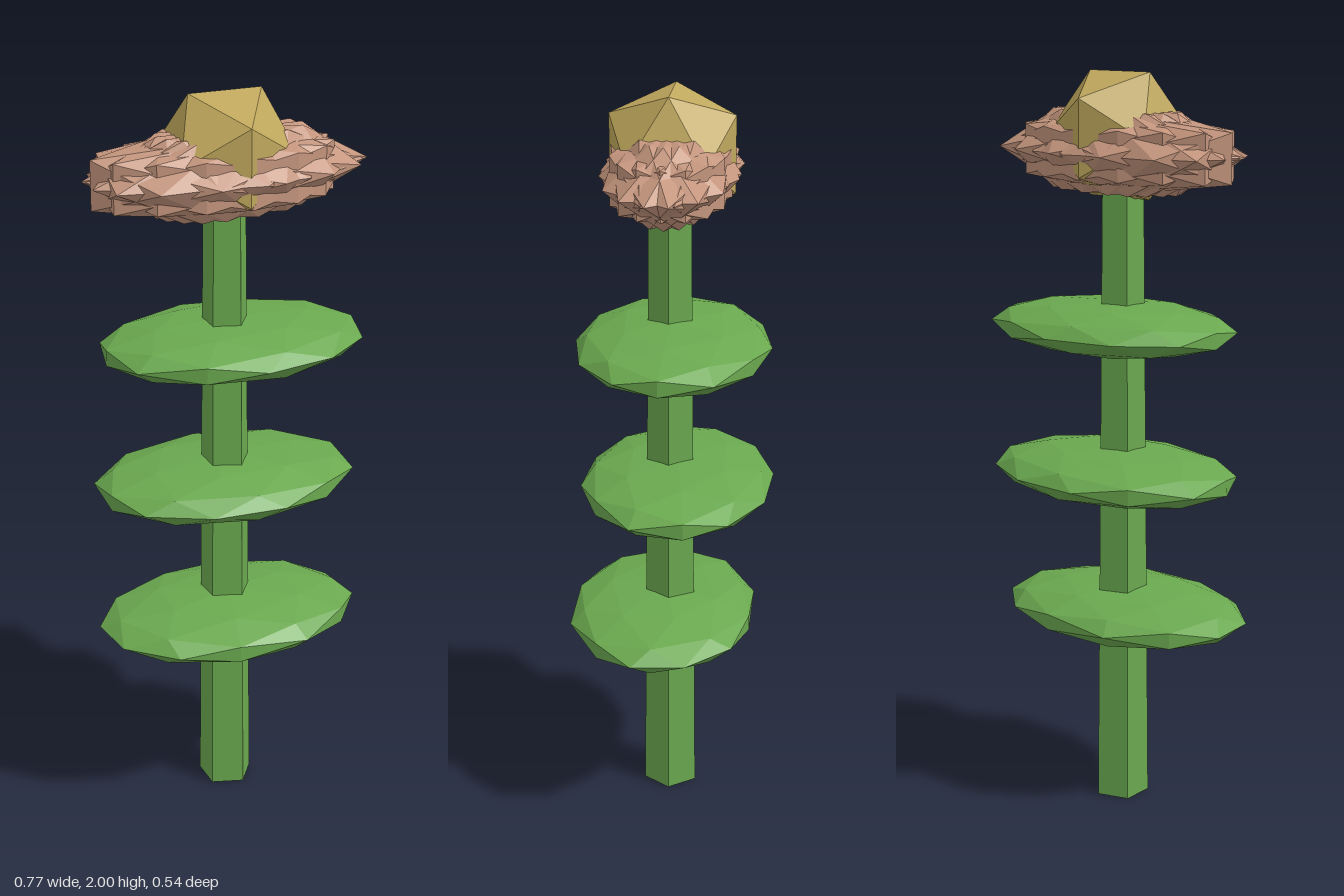
import * as THREE from 'three';

const material = (color) => new THREE.MeshStandardMaterial({ color, flatShading: true });

export function createModel() {
  const flower = new THREE.Group();
  flower.name = 'flower';
  const green = material(0x6aa84f);
  const pink = material(0xc4957d);
  const gold = material(0xbfa75c);

  const add = (name, geometry, mat, x, y, z) => {
    const mesh = new THREE.Mesh(geometry, mat);
    mesh.name = name;
    mesh.position.set(x, y, z);
    flower.add(mesh);
  };

  // Icosahedron turned about y first, then squashed to an ellipsoid
  const ellipsoid = (detail, turn, rx, ry, rz) =>
    new THREE.IcosahedronGeometry(1, detail).rotateY(turn).scale(rx, ry, rz);

  // Five-sided tapering stem with one edge facing +x
  const stem = new THREE.CylinderGeometry(0.058, 0.076, 1.8, 5, 1, false, Math.PI / 2);
  add('stem', stem, green, -0.015, 0.9, 0);

  // Three flat leaf discs threaded on the stem: x, y, z, turn
  const leaves = [
    [-0.015, 0.54, 0.02, 0.35],
    [-0.008, 0.935, -0.02, 1.2],
    [0.008, 1.33, -0.01, 2.1],
  ];
  for (const [x, y, z, turn] of leaves) {
    add('leaf', ellipsoid(1, turn, 0.37, 0.07, 0.262), green, x, y, z);
  }

  // Spiky bloom: overlapping petals turned in even steps, the sideways ones pushed to -x
  const petals = 8;
  for (let i = 0; i < petals; i++) {
    const turn = (i * Math.PI) / petals;
    const shift = -0.05 * Math.sin(turn) ** 4;
    add('petal', ellipsoid(0, turn, 0.385, 0.124, 0.184), pink, shift, 1.795, -0.004);
  }

  // Faceted flower centre
  add('flowerCentre', new THREE.IcosahedronGeometry(0.192), gold, -0.013, 1.837, -0.005);

  return flower;
}
